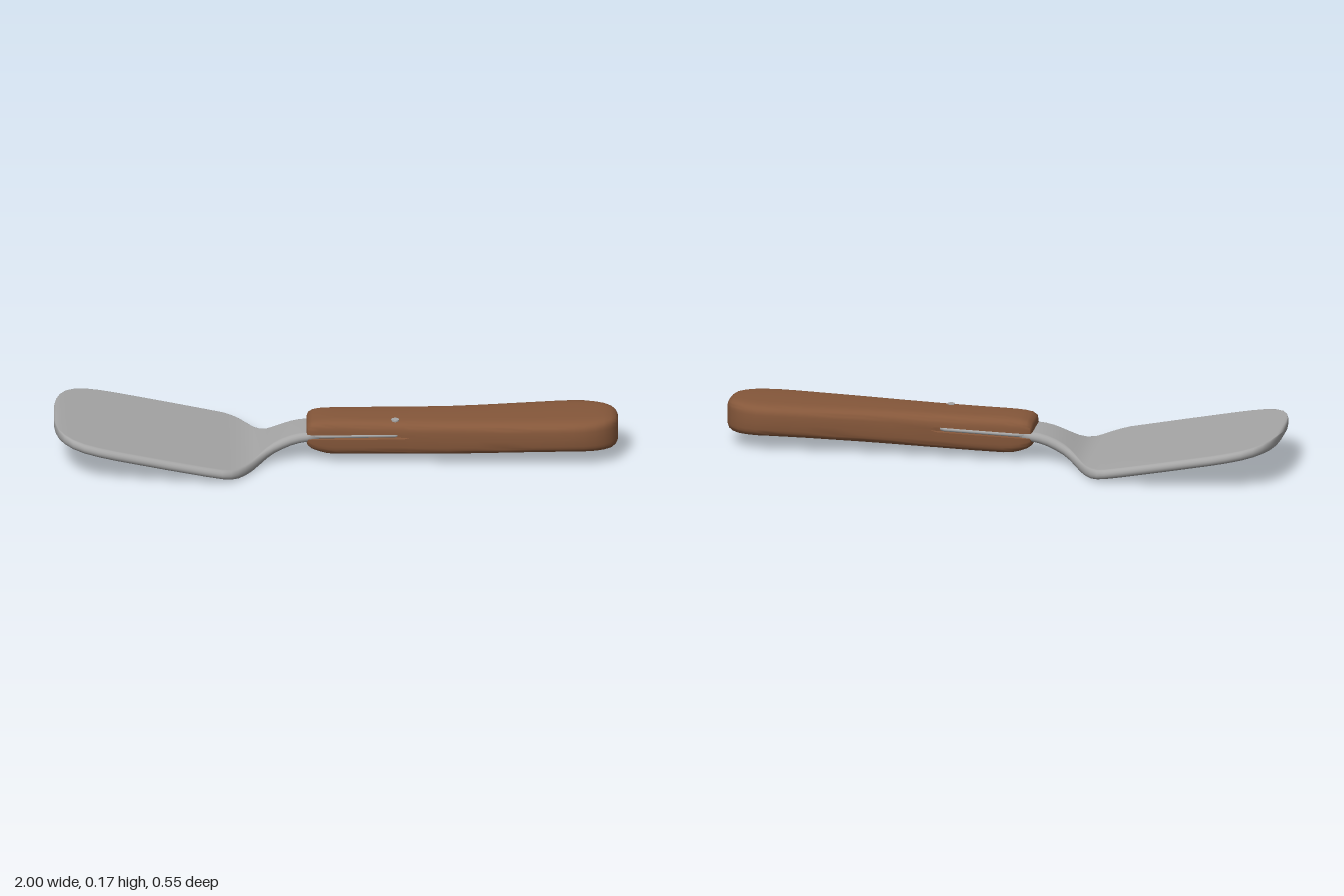
import * as THREE from 'three';
import { toCreasedNormals } from 'three/addons/utils/BufferGeometryUtils.js';

// Skin a list of equal-length rings (running from -x to +x) and close both ends.
function loft(rings) {
  const n = rings[0].length, last = (rings.length - 1) * n;
  const pos = rings.flat(2), index = [];
  for (const ring of [rings[0], rings[rings.length - 1]]) {
    for (let k = 0; k < 3; k++) pos.push(ring.reduce((s, p) => s + p[k], 0) / n);
  }
  const c0 = last + n, c1 = c0 + 1;
  for (let j = 0; j < n; j++) {
    const k = (j + 1) % n;
    for (let i = 0; i < last; i += n) {
      index.push(i + j, i + n + j, i + k, i + n + j, i + n + k, i + k);
    }
    index.push(c0, j, k, c1, last + k, last + j);
  }
  const g = new THREE.BufferGeometry();
  g.setAttribute('position', new THREE.Float32BufferAttribute(pos, 3));
  g.setIndex(index);
  g.computeVertexNormals();
  return g;
}

// Flat strip section with rounded edges.
function stripRing(x, w, y, r) {
  const ring = [];
  for (let side = 0; side < 2; side++) {
    for (let i = 0; i <= 8; i++) {
      const a = -Math.PI / 2 + side * Math.PI + (i / 8) * Math.PI;
      ring.push([x, y + r * Math.sin(a), (side ? -1 : 1) * Math.max(w - r, 0.001) + r * Math.cos(a)]);
    }
  }
  return ring;
}

const slotY = (x) => 0.103 + 0.03 * x;

// Rounded-box section with a slot in each side near the blade.
function handleRing(x, z0, z1, y0, y1) {
  const zc = (z0 + z1) / 2, w = (z1 - z0) / 2, yc = (y0 + y1) / 2, h = (y1 - y0) / 2;
  const depth = x < 0.22 ? 0.018 : x < 0.25 ? 0.01 : 0;
  const sy = x < 0.3 ? slotY(x) : yc;
  const open = x < 0.25 ? 0.009 : 0.003;
  const N = 40, ring = [];
  const soft = (v) => Math.sign(v) * Math.pow(Math.abs(v), 0.45);
  for (let i = 0; i < N; i++) {
    const a = (i / N) * Math.PI * 2;
    if (i % (N / 2) === 0) {
      const s = i ? -1 : 1;
      for (const [d, dy] of [[0, -open], [depth, -open * 0.8], [depth, open * 0.8], [0, open]]) {
        ring.push([x, sy + s * dy, zc + s * (w - d)]);
      }
    } else {
      ring.push([x, yc + h * soft(Math.sin(a)), zc + w * soft(Math.cos(a))]);
    }
  }
  return ring;
}

export function createModel() {
  const model = new THREE.Group();
  const steel = new THREE.MeshStandardMaterial({ color: 0xa6a6a6 });
  steel.name = 'steel';
  const wood = new THREE.MeshStandardMaterial({ color: 0x85573a });
  wood.name = 'wood';
  const add = (name, geometry, material) => {
    const mesh = new THREE.Mesh(geometry, material);
    mesh.name = name;
    model.add(mesh);
    return mesh;
  };

  // Blade and neck: x, half width, centre height, half thickness
  const blade = [
    [-1, 0.07, 0.148, 0.012], [-0.993, 0.125, 0.147, 0.017], [-0.98, 0.172, 0.145, 0.018],
    [-0.96, 0.21, 0.142, 0.018], [-0.93, 0.24, 0.136, 0.018], [-0.89, 0.26, 0.128, 0.018],
    [-0.84, 0.27, 0.118, 0.018], [-0.78, 0.274, 0.106, 0.018], [-0.6, 0.274, 0.071, 0.018],
    [-0.46, 0.271, 0.044, 0.018], [-0.4, 0.268, 0.033, 0.018], [-0.37, 0.257, 0.027, 0.018],
    [-0.345, 0.237, 0.023, 0.019], [-0.32, 0.205, 0.021, 0.019], [-0.295, 0.165, 0.022, 0.02],
    [-0.27, 0.128, 0.03, 0.021], [-0.245, 0.102, 0.043, 0.021], [-0.22, 0.089, 0.057, 0.021],
    [-0.19, 0.083, 0.071, 0.021], [-0.16, 0.08, 0.083, 0.02], [-0.13, 0.078, 0.091, 0.019],
    [-0.1, 0.076, 0.095, 0.018], [-0.06, 0.074, 0.098, 0.015],
  ];
  add('blade', loft(blade.map((s) => stripRing(...s))), steel);

  // Tang running inside the handle slots
  const tang = [[-0.09, 0.072], [-0.05, 0.077], [0, 0.079], [0.12, 0.082], [0.21, 0.084], [0.24, 0.07]];
  add('tang', loft(tang.map(([x, w]) => stripRing(x, w, slotY(x), 0.0075))), steel);

  // Handle: x, back z, front z, bottom y, top y
  const handle = [
    [-0.105, -0.06, 0.06, 0.07, 0.132], [-0.1, -0.074, 0.074, 0.058, 0.144],
    [-0.085, -0.081, 0.081, 0.047, 0.153], [-0.06, -0.083, 0.083, 0.037, 0.158],
    [-0.03, -0.084, 0.084, 0.029, 0.16], [0, -0.085, 0.085, 0.027, 0.161],
    [0.1, -0.088, 0.09, 0.029, 0.161], [0.21, -0.09, 0.095, 0.032, 0.162],
    [0.24, -0.09, 0.097, 0.033, 0.162], [0.26, -0.09, 0.099, 0.033, 0.162],
    [0.4, -0.093, 0.107, 0.037, 0.164], [0.5, -0.1, 0.113, 0.041, 0.166],
    [0.6, -0.11, 0.118, 0.045, 0.168], [0.7, -0.12, 0.122, 0.049, 0.17],
    [0.78, -0.127, 0.124, 0.051, 0.172], [0.84, -0.131, 0.124, 0.052, 0.173],
    [0.88, -0.129, 0.12, 0.051, 0.173], [0.92, -0.118, 0.11, 0.05, 0.173],
    [0.95, -0.104, 0.096, 0.05, 0.172], [0.975, -0.083, 0.077, 0.052, 0.169],
    [0.99, -0.062, 0.056, 0.058, 0.162], [0.998, -0.042, 0.038, 0.068, 0.152],
    [1, -0.026, 0.022, 0.08, 0.138],
  ];
  add('handle', toCreasedNormals(loft(handle.map((s) => handleRing(...s))), 0.75), wood);

  // Small pin head on top of the handle
  const pin = add('pin', new THREE.CylinderGeometry(0.014, 0.014, 0.008, 20), steel);
  pin.position.set(0.21, 0.159, 0.058);

  return model;
}
